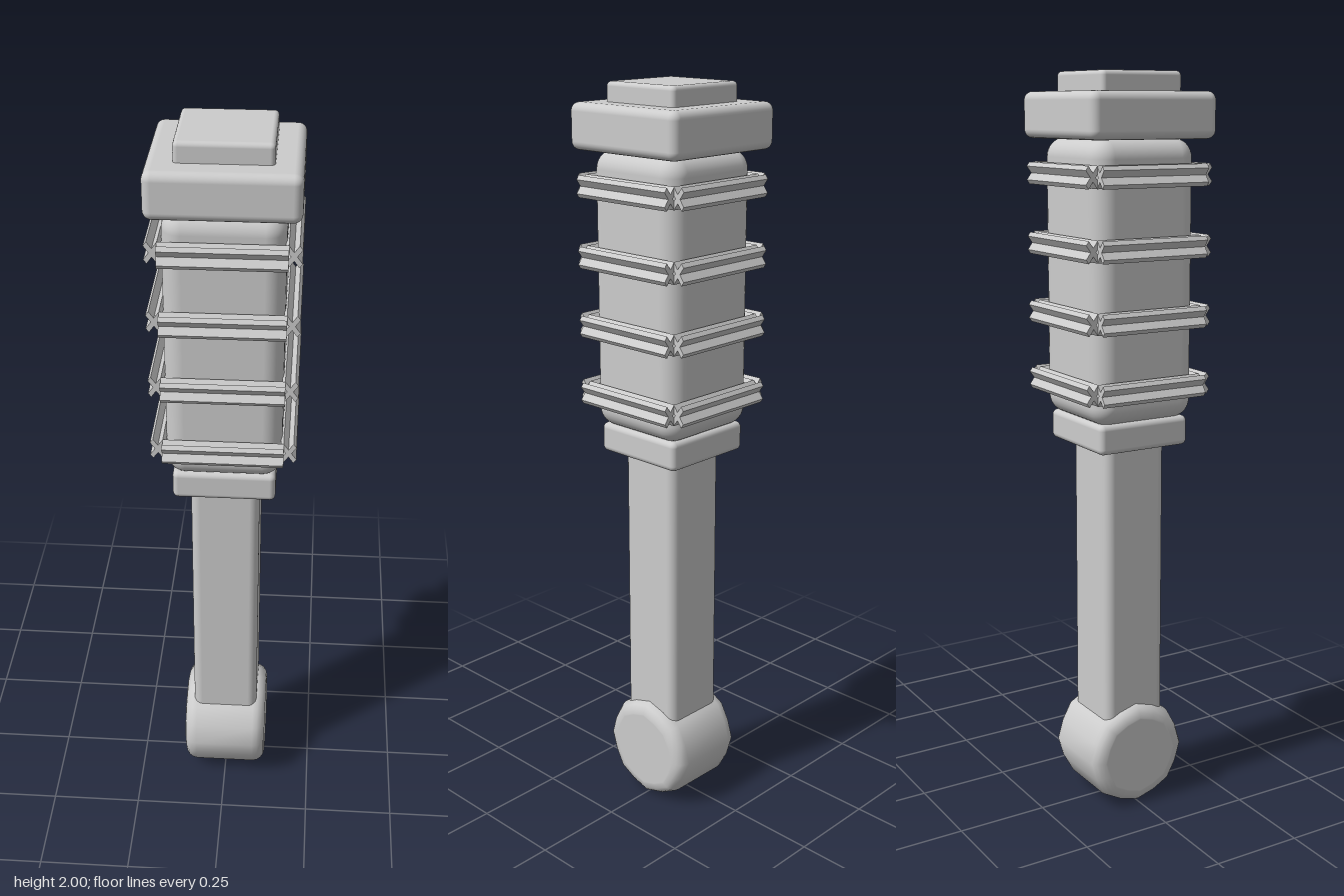
import * as THREE from 'three';
import { RoundedBoxGeometry } from 'three/addons/geometries/RoundedBoxGeometry.js';
import { mergeVertices } from 'three/addons/utils/BufferGeometryUtils.js';

export function createModel() {
  const model = new THREE.Group();
  model.name = 'handle';
  const grey = new THREE.MeshStandardMaterial({ color: 0xcccccc });
  grey.name = 'grey';

  const add = (name, geometry, parent = model) => {
    const mesh = new THREE.Mesh(geometry, grey);
    mesh.name = name;
    parent.add(mesh);
    return mesh;
  };

  // Square rounded block between two heights
  const block = (name, half, y0, y1, radius) => {
    const mesh = add(name, new RoundedBoxGeometry(half * 2, y1 - y0, half * 2, 4, radius));
    mesh.position.y = (y0 + y1) / 2;
  };
  block('shaft', 0.092, 0.15, 1.06, 0.025);
  block('collar', 0.135, 1.03, 1.11, 0.015);
  block('grip', 0.15, 1.105, 1.835, 0.05);
  block('cap', 0.185, 1.832, 1.95, 0.022);
  block('capTop', 0.118, 1.93, 2.0, 0.012);

  // Sideways drum with rounded rims and a softly eight-sided outline
  const profile = [new THREE.Vector2(0, -0.118), new THREE.Vector2(0.108, -0.118)];
  const bevel = 0.035, radius = 0.147, halfWidth = 0.118;
  for (const side of [-1, 1]) {
    for (let i = 0; i <= 4; i++) {
      const a = (side < 0 ? i - 4 : i) * Math.PI / 8;
      profile.push(new THREE.Vector2(
        radius - bevel + bevel * Math.cos(a),
        side * (halfWidth - bevel) + bevel * Math.sin(a)));
    }
  }
  profile.push(new THREE.Vector2(0.108, 0.118), new THREE.Vector2(0, 0.118));
  let drum = new THREE.LatheGeometry(profile, 16);
  const pos = drum.attributes.position;
  for (let i = 0; i < pos.count; i++) {
    const step = Math.round(Math.atan2(pos.getX(i), pos.getZ(i)) / (Math.PI / 8));
    const s = step % 2 ? 0.965 : 1;
    pos.setXYZ(i, pos.getX(i) * s, pos.getY(i), pos.getZ(i) * s);
  }
  drum.deleteAttribute('uv');
  drum.deleteAttribute('normal');
  drum = mergeVertices(drum, 1e-5);
  drum.computeVertexNormals();
  drum.rotateZ(Math.PI / 2);
  add('pommel', drum).position.y = 0.147;

  // X-shaped bar section, extruded along one side of the grip
  const L = 0.0325, t = 0.0075;
  const section = [];
  for (let k = 0; k < 4; k++) {
    for (const [x, y] of [[L, -t], [L, t], [t, t]]) {
      const p = new THREE.Vector2(x, y).rotateAround(new THREE.Vector2(), Math.PI / 4 + k * Math.PI / 2);
      section.push(new THREE.Vector2(p.x * 0.72, p.y));
    }
  }
  const bar = new THREE.ExtrudeGeometry(new THREE.Shape(section), { depth: 0.31, bevelEnabled: false });
  bar.translate(0.167, 0, -0.155);

  // Four rings of four bars
  for (let r = 0; r < 4; r++) {
    const ring = new THREE.Group();
    ring.name = `ring${r + 1}`;
    ring.position.y = 1.197 + r * 0.182;
    for (let k = 0; k < 4; k++) add('ringBar', bar, ring).rotation.y = k * Math.PI / 2;
    model.add(ring);
  }
  return model;
}
